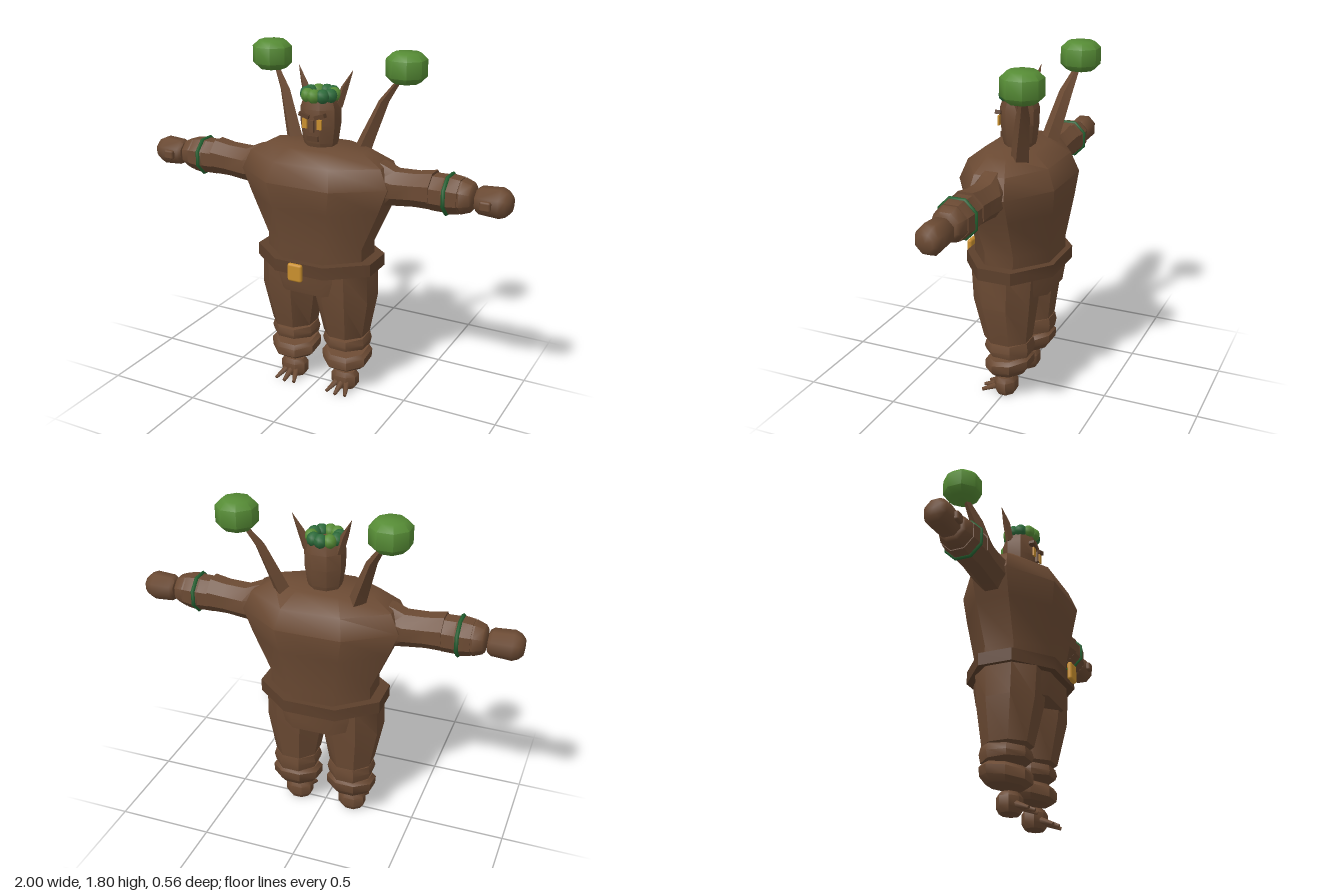
import * as THREE from 'three';
import { toCreasedNormals } from 'three/addons/utils/BufferGeometryUtils.js';
import { RoundedBoxGeometry } from 'three/addons/geometries/RoundedBoxGeometry.js';

const material = (name, color) => {
  const m = new THREE.MeshStandardMaterial({ color });
  m.name = name;
  return m;
};

// Unit outlines: a regular octagon, the broad body octagon and a diamond
const OCT = [...Array(8).keys()].map((i) => {
  const a = ((i + 0.5) * Math.PI) / 4, r = 1 / Math.cos(Math.PI / 8);
  return [r * Math.cos(a), -r * Math.sin(a)];
});
const BODY = [[1, 0.37], [1, -0.37], [0.42, -1], [-0.42, -1], [-1, -0.37], [-1, 0.37], [-0.42, 1], [0.42, 1]];
const DIAMOND = [[1, 0], [0, -1], [-1, 0], [0, 1]];

// Capped loft through rings [y, rx, rz, cx, cz, tilt], listed from bottom to top
function loft(rings, outline = OCT, crease = 0.75) {
  const n = outline.length, pos = [], idx = [];
  for (const [y, rx, rz, cx = 0, cz = 0, tilt = 0] of rings)
    for (const [u, v] of outline) pos.push(cx + u * rx, y + tilt * v * rz, cz + v * rz);
  const last = rings.length - 1, base = pos.length / 3;
  for (const r of [rings[0], rings[last]]) pos.push(r[3] || 0, r[0], r[4] || 0);
  for (let i = 0; i < n; i++) {
    const j = (i + 1) % n;
    for (let k = 0; k < last; k++) {
      const a = k * n + i, b = k * n + j;
      idx.push(a, b, a + n, b, b + n, a + n);
    }
    idx.push(base, j, i, base + 1, last * n + i, last * n + j);
  }
  const g = new THREE.BufferGeometry();
  g.setAttribute('position', new THREE.Float32BufferAttribute(pos, 3));
  g.setIndex(idx);
  return toCreasedNormals(g, crease);
}

export function createModel() {
  const model = new THREE.Group();
  model.name = 'treeGiant';
  const bark = material('bark', 0x6b4a33);
  const darkBark = material('darkBark', 0x5c3f2b);
  const leaf = material('leaf', 0x568c35);
  const darkLeaf = material('darkLeaf', 0x2c6a3a);
  const vine = material('vine', 0x22602f);
  const gold = material('gold', 0xc98f2e);

  const add = (name, geometry, mat, parent = model) => {
    const mesh = new THREE.Mesh(geometry, mat);
    mesh.name = name;
    parent.add(mesh);
    return mesh;
  };
  const group = (name) => {
    const g = new THREE.Group();
    g.name = name;
    model.add(g);
    return g;
  };

  // Torso, listed as y, half width, front z, back z
  const body = [
    [0.59, 0.25, 0.18, -0.21], [0.67, 0.275, 0.195, -0.22], [0.84, 0.27, 0.195, -0.22],
    [1.05, 0.36, 0.225, -0.25], [1.18, 0.41, 0.245, -0.265], [1.28, 0.365, 0.205, -0.225],
    [1.34, 0.26, 0.13, -0.13],
  ].map(([y, hx, f, b]) => [y, hx, (f - b) / 2, 0, (f + b) / 2]);
  add('torso', loft(body, BODY), bark);

  // Belt and buckle
  add('belt', loft([[0.71, 0.325, 0.24, 0, -0.01], [0.775, 0.325, 0.24, 0, -0.01]], BODY), darkBark);
  add('buckle', new RoundedBoxGeometry(0.08, 0.095, 0.026, 2, 0.012), gold).position.set(0, 0.74, 0.267);

  // Head and face
  const head = group('head');
  add('skull', loft([
    [1.32, 0.07, 0.065, 0, -0.01], [1.36, 0.083, 0.078, 0, -0.01], [1.45, 0.095, 0.088, 0, -0.01],
    [1.53, 0.095, 0.09, 0, -0.01], [1.59, 0.075, 0.072, 0, -0.01],
  ]), bark, head);
  add('mouth', new THREE.BoxGeometry(0.06, 0.026, 0.02), darkBark, head).position.set(0, 1.387, 0.074);
  add('nose', new THREE.BoxGeometry(0.02, 0.06, 0.02), bark, head).position.set(0, 1.45, 0.08);

  // Wreath of leaf clumps
  const wreath = group('wreath');
  for (let i = 0; i < 10; i++) {
    const a = (i / 10) * Math.PI * 2;
    add('leafClump', new THREE.SphereGeometry(0.036, 8, 6), i % 3 ? darkLeaf : leaf, wreath)
      .position.set(0.069 * Math.sin(a), 1.595, 0.069 * Math.cos(a) - 0.005);
  }

  for (const s of [1, -1]) {
    const side = s > 0 ? 'left' : 'right';

    // Eye, brow and ear
    add(side + 'Eye', new THREE.BoxGeometry(0.026, 0.05, 0.009), gold, head).position.set(s * 0.04, 1.462, 0.084);
    const brow = add(side + 'Brow', new THREE.BoxGeometry(0.055, 0.02, 0.03), darkBark, head);
    brow.position.set(s * 0.043, 1.502, 0.08);
    brow.rotation.z = s * 0.3;
    add(side + 'Ear', loft([
      [1.53, 0.024, 0.022, s * 0.08, -0.04], [1.63, 0.02, 0.02, s * 0.112, -0.047],
      [1.715, 0.001, 0.001, s * 0.15, -0.06],
    ], DIAMOND), bark, head);

    // Shoulder branch with a leaf crown
    const branch = group(side + 'Branch');
    add('branch', loft([
      [1.28, 0.05, 0.05, s * 0.18, -0.085], [1.38, 0.042, 0.046, s * 0.215, -0.105],
      [1.56, 0.028, 0.036, s * 0.28, -0.145], [1.68, 0.012, 0.014, s * 0.355, -0.18],
    ], DIAMOND), bark, branch);
    add('leafCrown', loft([
      [-0.073, 0.065, 0.065], [-0.042, 0.095, 0.095], [0.042, 0.095, 0.095], [0.073, 0.065, 0.065],
    ], OCT, 1), leaf, branch).position.set(s * 0.378, 1.728, -0.185);

    // Arm, lofted along y and turned outward
    const arm = group(side + 'Arm');
    arm.position.set(0, 1.185, -0.01);
    arm.rotation.z = (-s * Math.PI) / 2;
    add('upperArm', loft([
      [0.28, 0.125, 0.08], [0.36, 0.105, 0.085], [0.42, 0.087, 0.085, s * 0.008], [0.53, 0.083, 0.083],
      [0.615, 0.09, 0.09, -s * 0.008],
    ]), bark, arm);
    add('forearm', loft([[0.61, 0.085, 0.085], [0.675, 0.086, 0.086], [0.69, 0.092, 0.092], [0.755, 0.084, 0.084]]), bark, arm);
    add('wrist', loft([[0.75, 0.078, 0.078], [0.765, 0.082, 0.082], [0.81, 0.067, 0.067], [0.82, 0.055, 0.055]]), bark, arm);
    const band = add('vineBand', new THREE.TorusGeometry(0.097, 0.011, 6, 8), vine, arm);
    band.rotation.set(Math.PI / 2, 0, Math.PI / 8);
    band.position.y = 0.693;
    add('hand', loft([
      [0.832, 0.052, 0.052], [0.85, 0.064, 0.062], [0.95, 0.07, 0.066], [0.98, 0.058, 0.056], [1, 0.038, 0.038],
    ], OCT, 1), bark, arm).position.x = s * 0.005;
    add('thumb', new RoundedBoxGeometry(0.048, 0.055, 0.03, 1, 0.01), bark, arm).position.set(s * 0.01, 0.893, 0.07);

    // Leg and its two shin wraps
    const leg = group(side + 'Leg');
    leg.position.x = s * 0.155;
    add('thigh', loft([
      [0.335, 0.112, 0.118, 0, -0.012], [0.55, 0.152, 0.155, 0, 0], [0.72, 0.148, 0.165, 0, 0],
    ]), bark, leg);
    add('upperShinWrap', loft([
      [0.258, 0.112, 0.115, 0, -0.02, 0.03], [0.29, 0.12, 0.122, 0, -0.02, -0.06], [0.325, 0.11, 0.115, 0, -0.02, -0.1],
    ]), bark, leg);
    add('lowerShinWrap', loft([
      [0.14, 0.095, 0.09, 0, -0.02, -0.12], [0.17, 0.122, 0.118, 0, -0.02, -0.17],
      [0.215, 0.125, 0.12, 0, -0.02, -0.17], [0.235, 0.108, 0.105, 0, -0.02, -0.17],
    ]), bark, leg);

    // Foot with three splayed toes
    add('foot', loft([
      [0.004, 0.055, 0.045], [0.03, 0.071, 0.058], [0.08, 0.071, 0.058], [0.104, 0.055, 0.045],
    ]), bark, leg);
    for (const t of [-1, 0, 1]) {
      const from = new THREE.Vector3(t * 0.025, 0.048, 0.03);
      const dir = new THREE.Vector3(t * 0.055, 0.012, 0.128 - Math.abs(t) * 0.01).sub(from);
      const toe = add('toe', new THREE.CylinderGeometry(0.009, 0.02, dir.length(), 6), bark, leg);
      toe.position.copy(from).addScaledVector(dir, 0.5);
      toe.quaternion.setFromUnitVectors(new THREE.Vector3(0, 1, 0), dir.normalize());
    }
  }
  return model;
}
